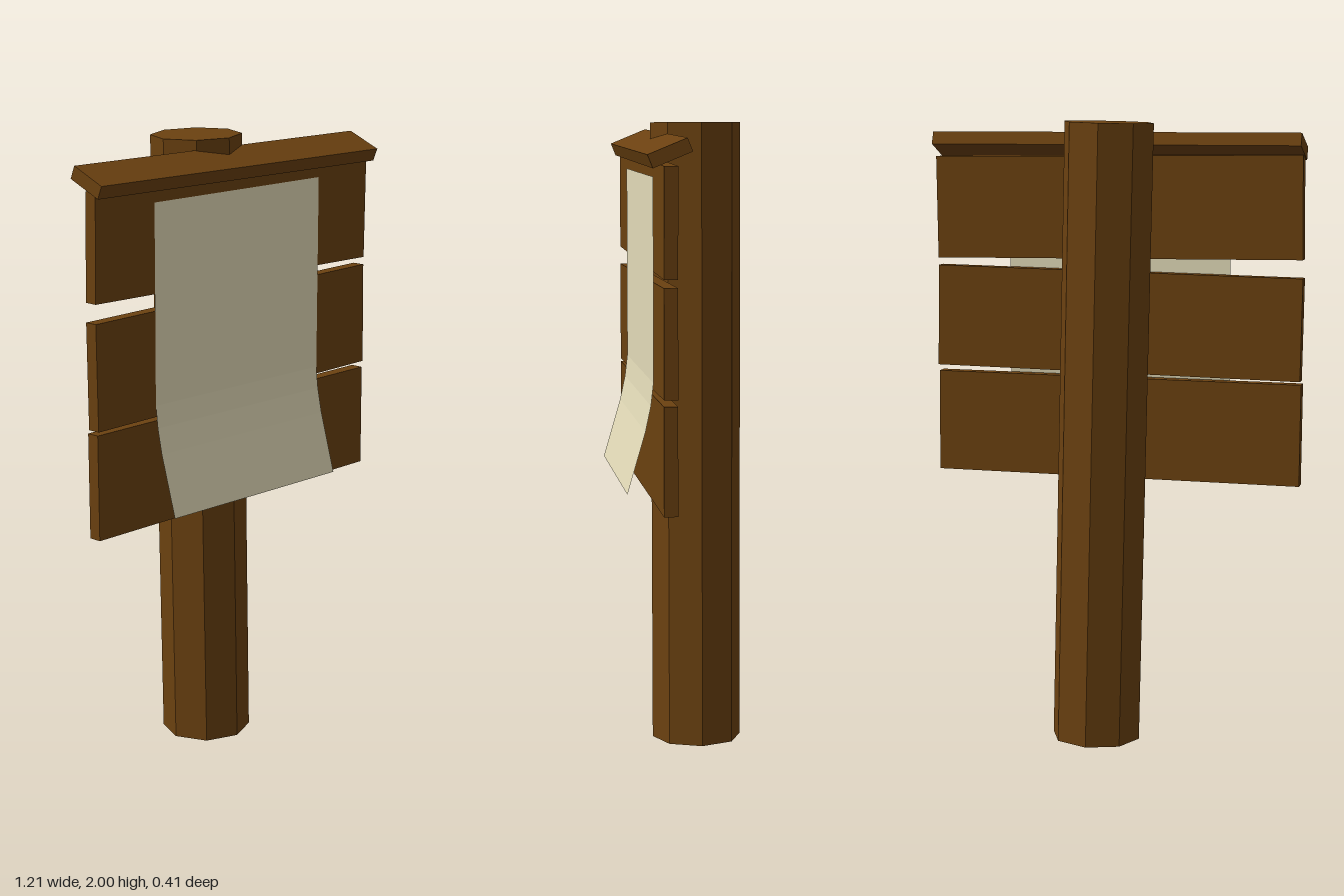
import * as THREE from 'three';

export function createModel() {
  const group = new THREE.Group();
  const wood = new THREE.MeshStandardMaterial({ color: 0x6b4110, flatShading: true });
  wood.name = 'brown wood';
  const parchment = new THREE.MeshStandardMaterial({ color: 0xe4dcb9, flatShading: true, side: THREE.DoubleSide });
  parchment.name = 'cream paper';

  function add(name, geometry, material, position, rotation = [0, 0, 0]) {
    const mesh = new THREE.Mesh(geometry, material);
    mesh.name = name;
    mesh.position.set(...position);
    mesh.rotation.set(...rotation);
    group.add(mesh);
    return mesh;
  }

  // Leaning octagonal post
  add('post', new THREE.CylinderGeometry(0.144, 0.144, 1.994, 8), wood, [0.014, 1, -0.061], [0, 0, 0.022]);

  // Three slightly crooked boards: centre height and tilt
  const boards = [[1.722, -0.012], [1.35, 0.0165], [1.005, 0.008]];
  boards.forEach(([y, tilt], i) => {
    add('board' + (i + 1), new THREE.BoxGeometry(1.208, 0.33, 0.042), wood, [0, y, 0.095], [0, 0, tilt]);
  });

  // Sloping rain cover along the top
  const cover = add('rainCover', new THREE.BoxGeometry(1.21, 0.043, 0.127), wood, [0, 1.919, 0.089]);
  cover.rotation.set(0.39, -0.014, -0.003, 'YZX');

  // Paper notice, curling forward at the bottom: [y, z] down the sheet
  const profile = [[1.84, 0.119], [1.215, 0.119], [1.145, 0.127], [1.065, 0.144], [0.872, 0.2]];
  const paper = new THREE.PlaneGeometry(0.735, 1, 1, profile.length - 1);
  const p = paper.attributes.position;
  for (let i = 0; i < p.count; i++) {
    const [y, z] = profile[Math.floor(i / 2)];
    p.setY(i, y);
    p.setZ(i, z);
  }
  paper.computeVertexNormals();
  add('notice', paper, parchment, [0.002, 0, 0]);

  return group;
}
